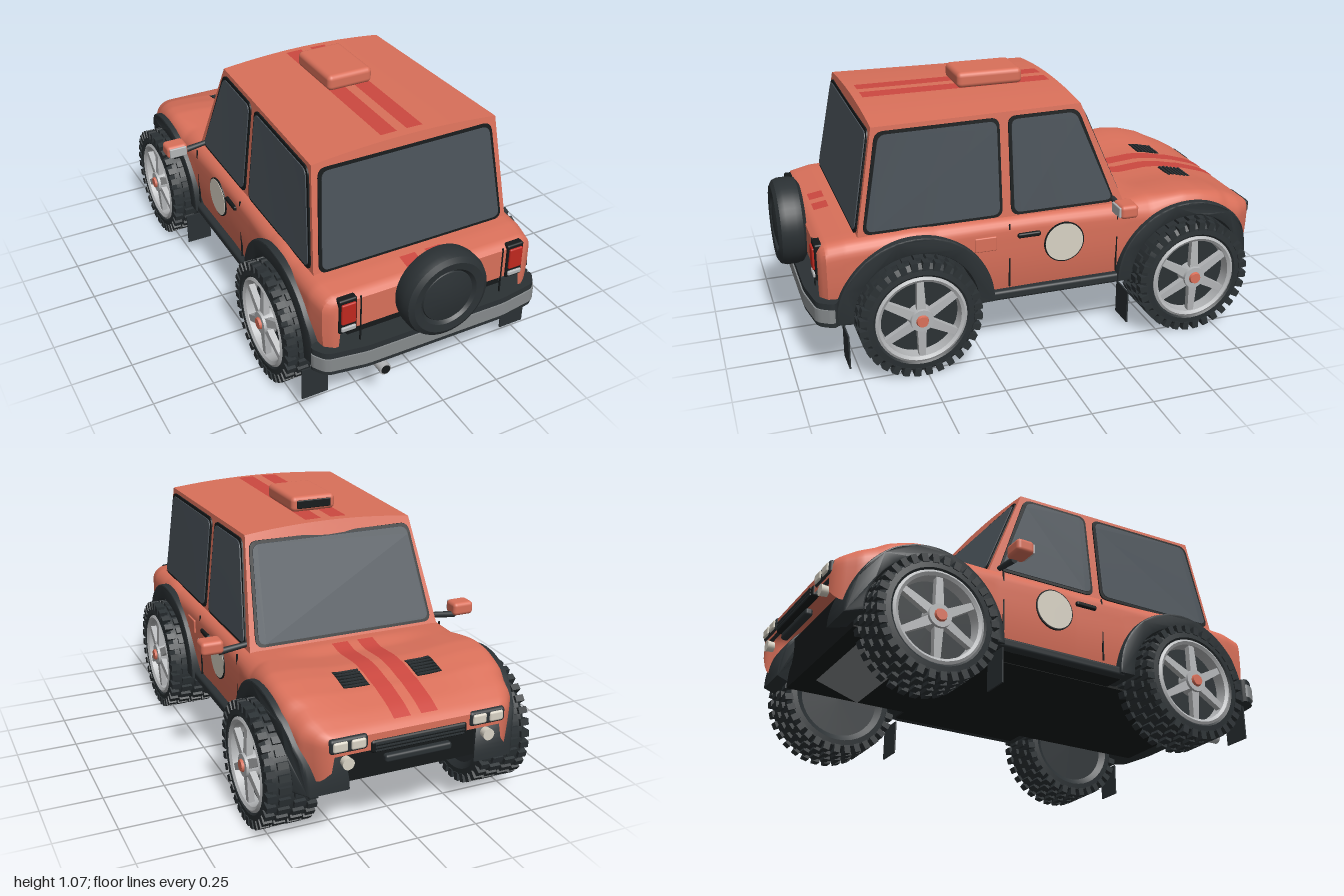
import * as THREE from 'three';
import { mergeGeometries, toCreasedNormals } from 'three/addons/utils/BufferGeometryUtils.js';
import { RoundedBoxGeometry } from 'three/addons/geometries/RoundedBoxGeometry.js';

const mat = (color) => new THREE.MeshStandardMaterial({ color, side: THREE.DoubleSide });
const paint = mat(0xd9705a), red = mat(0xcc4840), dark = mat(0x2b3134), black = mat(0x15191a);
const glass = mat(0x485057), silver = mat(0xb4b6b8), grey = mat(0x868a8c), cream = mat(0xd8d2c4), tail = mat(0xc0281f);
const { lerp, smoothstep, clamp } = THREE.MathUtils;

const WHEEL_Y = 0.246, AXLES = [0.52, -0.64], ARCH = 0.285;

function add(parent, name, geo, material, x = 0, y = 0, z = 0) {
  const m = new THREE.Mesh(geo, material);
  m.name = name;
  m.position.set(x, y, z);
  parent.add(m);
  return m;
}
const box = (w, h, d) => new THREE.BoxGeometry(w, h, d);
const rbox = (w, h, d, r) => new RoundedBoxGeometry(w, h, d, 3, r);

// Move every vertex of a geometry by a rule
function warp(geo, rule) {
  const p = geo.attributes.position, v = new THREE.Vector3();
  for (let i = 0; i < p.count; i++) {
    v.fromBufferAttribute(p, i);
    rule(v);
    p.setXYZ(i, v.x, v.y, v.z);
  }
  return toCreasedNormals(geo, 0.6);
}

// Polygon with rounded corners
function roundPoly(pts, r) {
  const s = new THREE.Shape(), P = pts.map(([x, y]) => new THREE.Vector2(x, y));
  P.forEach((p, i) => {
    const toward = (q) => p.clone().add(q.clone().sub(p).setLength(r));
    const a = toward(P[(i + P.length - 1) % P.length]), b = toward(P[(i + 1) % P.length]);
    if (i) s.lineTo(a.x, a.y); else s.moveTo(a.x, a.y);
    s.quadraticCurveTo(p.x, p.y, b.x, b.y);
  });
  s.closePath();
  return s;
}
const plate = (shape, depth) => new THREE.ExtrudeGeometry(shape, { depth, bevelEnabled: false, curveSegments: 6 });

// Body stations along z: [z, half width, top, bottom, corner radius]
const STATIONS = [
  [-0.985, 0.35, 0.462, 0.34, 0.03], [-0.965, 0.385, 0.48, 0.305, 0.04], [-0.9, 0.435, 0.515, 0.28, 0.07],
  [-0.8, 0.46, 0.56, 0.26, 0.09], [-0.7, 0.465, 0.583, 0.24, 0.1], [-0.62, 0.466, 0.59, 0.235, 0.1],
  [-0.5, 0.462, 0.58, 0.235, 0.09], [-0.36, 0.455, 0.57, 0.235, 0.06], [0, 0.452, 0.572, 0.235, 0.05],
  [0.23, 0.458, 0.575, 0.235, 0.05], [0.52, 0.47, 0.582, 0.235, 0.06], [0.78, 0.468, 0.57, 0.24, 0.06],
  [0.86, 0.455, 0.557, 0.25, 0.06], [0.885, 0.42, 0.535, 0.28, 0.05]];
function station(z) {
  z = clamp(z, -0.985, 0.885);
  const i = Math.max(1, STATIONS.findIndex((s) => s[0] >= z));
  const a = STATIONS[i - 1], b = STATIONS[i], t = (z - a[0]) / (b[0] - a[0]);
  return a.map((v, k) => lerp(v, b[k], t));
}
function bodyTop(x, z) {
  const [, W, top] = station(z);
  const dip = 0.02 * smoothstep(z, -0.95, -0.75) * (1 - smoothstep(z, -0.5, -0.4));
  return top - dip * (1 - smoothstep(Math.abs(x) / W, 0.3, 0.78));
}
function bodySection(z) {
  let [, W, top, low, r] = station(z);
  for (const a of AXLES) {
    const d = z - a;
    if (Math.abs(d) < ARCH) low = Math.max(low, WHEEL_Y + Math.sqrt(ARCH * ARCH - d * d));
  }
  r = Math.min(r, (top - low) * 0.9);
  const half = [];
  for (let i = 0; i < 8; i++) {
    const y = lerp(low, top - r, i / 8);
    half.push([W * (1 - 0.05 * Math.pow(Math.max(0, 0.45 - y) / 0.2, 2)), y]);
  }
  for (let i = 0; i <= 6; i++) {
    const a = i / 6 * Math.PI / 2;
    half.push([W - r + r * Math.cos(a), top - r + r * Math.sin(a)]);
  }
  for (let i = 1; i <= 8; i++) {
    const x = (W - r) * (1 - i / 8);
    half.push([x, bodyTop(x, z)]);
  }
  return half.concat(half.slice(0, -1).reverse().map(([x, y]) => [-x, y]));
}
function bodyGeometry() {
  const pos = [], index = [], N = 140, rows = [];
  for (let i = 0; i <= N; i++) {
    const z = lerp(-0.985, 0.885, i / N);
    rows.push(bodySection(z).map(([x, y]) => [x, y, z]));
  }
  // Flat closed ends
  const close = (row) => row.map(([x, , z]) => [x * 0.97, z < 0 ? 0.4 : 0.41, z]);
  rows.unshift(close(rows[0]));
  rows.push(close(rows[rows.length - 1]));
  const n = rows[0].length;
  rows.forEach((row) => row.forEach((p) => pos.push(...p)));
  for (let i = 0; i < rows.length - 1; i++) for (let j = 0; j < n - 1; j++) {
    const a = i * n + j;
    index.push(a, a + 1, a + n, a + 1, a + n + 1, a + n);
  }
  const g = new THREE.BufferGeometry();
  g.setAttribute('position', new THREE.Float32BufferAttribute(pos, 3));
  g.setIndex(index);
  return toCreasedNormals(g, 0.7);
}

// Cabin surfaces as functions of height
const tOf = (y) => (y - 0.55) / 0.44;
const zFront = (t) => lerp(-0.375, -0.19, t), zRear = (t) => lerp(0.735, 0.655, t);
const cabinHalf = (t, w) => lerp(lerp(0.415, 0.36, t), lerp(0.425, 0.392, t), w);
const roofY = (u) => 0.99 + 0.022 * (1 - u * u);

// Window pane with a dark trim, laid on a cabin face by the given rule
function pane(parent, name, pts, grow, rule) {
  const c = pts.reduce((s, p) => [s[0] + p[0] / pts.length, s[1] + p[1] / pts.length], [0, 0]);
  const big = pts.map(([x, y]) => [x + Math.sign(x - c[0]) * grow, y + Math.sign(y - c[1]) * grow]);
  add(parent, name + 'Trim', warp(plate(roundPoly(big, 0.035), 0.007), rule), black);
  add(parent, name, warp(plate(roundPoly(pts, 0.03), 0.011), rule), glass);
}

// Wheel with its axis along local y, outside face up
function makeWheel() {
  const g = new THREE.Group();
  g.name = 'wheel';
  const lathe = (pts) => toCreasedNormals(new THREE.LatheGeometry(pts.map(([r, y]) => new THREE.Vector2(r, y)), 40), 0.6);
  add(g, 'tyre', lathe([[0.165, -0.08], [0.19, -0.098], [0.215, -0.095], [0.23, -0.075], [0.232, 0.075],
    [0.215, 0.095], [0.19, 0.098], [0.175, 0.085], [0.172, 0.04]]), dark);
  const knobs = [];
  for (let i = 0; i < 32; i++) for (const [y, w, off] of [[-0.082, 0.036, 0], [-0.03, 0.045, 0.5], [0.03, 0.045, 0], [0.082, 0.036, 0.5]]) {
    const k = box(0.034, w, 0.026);
    k.translate(0.227, y, 0);
    k.rotateY((i + off) / 32 * Math.PI * 2);
    knobs.push(k);
  }
  add(g, 'treadBlocks', mergeGeometries(knobs), dark);
  add(g, 'rimBack', new THREE.CylinderGeometry(0.172, 0.172, 0.12, 40), dark, 0, -0.015);
  add(g, 'rimRing', lathe([[0.182, 0.06], [0.182, 0.094], [0.172, 0.1], [0.16, 0.092], [0.156, 0.045]]), silver);
  const spokes = [];
  for (let i = 0; i < 6; i++) {
    const s = warp(box(0.14, 0.025, 0.034), (v) => { v.z *= v.x > 0 ? 0.75 : 1.1; v.y -= v.x > 0 ? 0.008 : 0; });
    s.translate(0.097, 0.083, 0);
    s.rotateY(i / 6 * Math.PI * 2);
    spokes.push(s);
  }
  add(g, 'spokes', mergeGeometries(spokes), silver);
  add(g, 'hub', new THREE.CylinderGeometry(0.045, 0.052, 0.05, 24), silver, 0, 0.08);
  add(g, 'hubCap', new THREE.CylinderGeometry(0.022, 0.027, 0.014, 12), paint, 0, 0.108);
  g.rotation.z = -Math.PI / 2;
  return g;
}

// Everything that is mirrored left to right
function makeSide() {
  const g = new THREE.Group();
  for (const z of AXLES) {
    const w = makeWheel();
    w.position.set(0.447, WHEEL_Y, z);
    g.add(w);
    const arch = new THREE.Shape();
    arch.absarc(0, 0, z > 0 ? 0.312 : 0.305, 0, Math.PI, false);
    arch.absarc(0, 0, 0.257, Math.PI, 0, true);
    const flare = new THREE.ExtrudeGeometry(arch, { depth: 0.15, curveSegments: 28, bevelSize: 0.006, bevelThickness: 0.006, bevelSegments: 2 });
    flare.rotateY(Math.PI / 2).translate(0.33, WHEEL_Y, z);
    add(g, 'wheelArchFlare', warp(flare, (v) => { v.x += station(v.z)[1] - 0.466; }), dark);
    add(g, 'mudFlap', box(0.11, 0.14, 0.006), dark, 0.455, 0.135, z > 0 ? 0.8 : -0.36);
  }
  // Side windows, drawn over -z
  const onSide = (v) => {
    const t = tOf(v.y), z = -v.x, w = (z - zFront(t)) / (zRear(t) - zFront(t));
    v.set(cabinHalf(t, w) + v.z - 0.001, v.y, z);
  };
  pane(g, 'rearSideWindow', [[-0.7, 0.59], [-0.165, 0.59], [-0.165, 0.96], [-0.63, 0.96]], 0.012, onSide);
  pane(g, 'frontSideWindow', [[-0.105, 0.59], [0.315, 0.59], [0.165, 0.96], [-0.105, 0.96]], 0.012, onSide);
  // Door details
  add(g, 'sill', rbox(0.05, 0.04, 0.58, 0.012), dark, 0.44, 0.252, -0.055);
  add(g, 'doorHandle', rbox(0.022, 0.02, 0.095, 0.007), black, 0.455, 0.502, 0.055);
  add(g, 'roundelRim', new THREE.CylinderGeometry(0.085, 0.085, 0.02, 40).rotateZ(Math.PI / 2), black, 0.447, 0.448, -0.095);
  add(g, 'roundel', new THREE.CylinderGeometry(0.08, 0.08, 0.02, 40).rotateZ(Math.PI / 2), cream, 0.449, 0.448, -0.095);
  for (const z of [0.135, -0.325]) add(g, 'doorSeam', box(0.006, 0.27, 0.005), black, 0.4515, 0.42, z);
  // Mirror
  add(g, 'mirrorArm', new THREE.CylinderGeometry(0.011, 0.014, 0.12, 10).rotateZ(Math.PI / 2 - 0.12), dark, 0.465, 0.582, -0.32);
  add(g, 'mirrorShell', rbox(0.092, 0.056, 0.075, 0.016), paint, 0.555, 0.602, -0.312);
  add(g, 'mirrorGlass', rbox(0.076, 0.042, 0.01, 0.004), silver, 0.555, 0.602, -0.273);
  // Tail and nose lamps
  add(g, 'tailLampHousing', rbox(0.075, 0.15, 0.04, 0.008), black, 0.365, 0.478, 0.873);
  add(g, 'tailLamp', rbox(0.06, 0.09, 0.03, 0.006), tail, 0.365, 0.492, 0.886);
  add(g, 'reverseLamp', rbox(0.06, 0.02, 0.03, 0.005), silver, 0.365, 0.425, 0.886);
  add(g, 'tailgateSeam', box(0.005, 0.25, 0.006), black, 0.31, 0.42, 0.885);
  add(g, 'headlampHousing', rbox(0.15, 0.058, 0.04, 0.014), dark, 0.28, 0.44, -0.973);
  for (const x of [0.245, 0.315]) add(g, 'headlamp', rbox(0.058, 0.04, 0.02, 0.009), cream, x, 0.44, -0.989);
  add(g, 'fogLamp', new THREE.CylinderGeometry(0.02, 0.023, 0.03, 20).rotateX(Math.PI / 2), cream, 0.285, 0.37, -0.983);
  // Stripes and bonnet vent
  const strip = (name, x, w, z0, z1, height, m) => add(g, name, warp(
    new THREE.PlaneGeometry(w, z1 - z0, 4, 20).rotateX(-Math.PI / 2).translate(x, 0, (z0 + z1) / 2),
    (v) => { v.y = height(v.x, v.z); }), m);
  const onBody = (x, z) => bodyTop(x, z) + 0.004;
  strip('bonnetStripe', 0.055, 0.068, -0.955, -0.42, onBody, red);
  strip('roofStripe', 0.055, 0.068, -0.16, 0.62, (x) => roofY(x / 0.375) + 0.003, red);
  strip('rearStripe', 0.055, 0.068, 0.78, 0.84, onBody, red);
  strip('bonnetVent', 0.152, 0.105, -0.78, -0.67, onBody, black);
  for (let i = 0; i < 6; i++) add(g, 'ventSlat', box(0.1, 0.006, 0.007), dark, 0.152, bodyTop(0.152, -0.77 + i * 0.018) + 0.006, -0.77 + i * 0.018);
  return g;
}

export function createModel() {
  const car = new THREE.Group();
  car.name = 'offRoadCar';
  add(car, 'body', bodyGeometry(), paint);
  add(car, 'chassis', box(0.68, 0.2, 1.72), black, 0, 0.33, -0.02);
  add(car, 'floor', box(0.86, 0.02, 0.58), black, 0, 0.242, -0.06);
  add(car, 'rearFloor', box(0.84, 0.03, 0.06), black, 0, 0.262, 0.84);

  // Cabin with crowned roof
  add(car, 'cabin', warp(new THREE.BoxGeometry(2, 1, 1, 12, 8, 8), (v) => {
    const t = v.y + 0.5, w = v.z + 0.5, u = v.x;
    v.set(u * cabinHalf(t, w), 0.55 + 0.44 * t + 0.022 * t ** 4 * (1 - u * u), lerp(zFront(t), zRear(t), w));
  }), paint);
  pane(car, 'rearWindow', [[-0.39, 0.585], [0.39, 0.585], [0.357, 0.96], [-0.357, 0.96]], 0.012,
    (v) => { v.z += zRear(tOf(v.y)) - 0.001; });
  pane(car, 'windscreen', [[-0.375, 0.595], [0.375, 0.595], [0.338, 0.955], [-0.338, 0.955]], 0.012,
    (v) => { v.set(-v.x, v.y, zFront(tOf(v.y)) + 0.001 - v.z); });

  const left = makeSide(), right = makeSide();
  left.name = 'leftSide';
  right.name = 'rightSide';
  right.scale.x = -1;
  car.add(left, right);
  add(car, 'fuelFlap', rbox(0.012, 0.06, 0.09, 0.005), paint, 0.458, 0.485, 0.235);

  // Roof scoop
  add(car, 'roofScoop', rbox(0.195, 0.065, 0.275, 0.02), paint, 0, 1.044, 0.097);
  add(car, 'scoopIntake', rbox(0.15, 0.035, 0.01, 0.004), black, 0, 1.044, -0.039);

  // Nose
  add(car, 'grille', rbox(0.39, 0.05, 0.03, 0.012), black, 0, 0.412, -0.978);
  for (let i = 0; i < 3; i++) add(car, 'grilleBar', box(0.36, 0.005, 0.008), dark, 0, 0.399 + i * 0.013, -0.994);
  add(car, 'lowerGrille', rbox(0.27, 0.03, 0.03, 0.01), dark, 0, 0.352, -0.976);
  add(car, 'skidPlate', box(0.4, 0.008, 0.2), grey, 0, 0.205, -0.72).rotation.x = 0.32;

  // Rear bumper, spare wheel and exhaust
  const plan = (grow) => roundPoly([[-0.5, -0.84], [-0.46, -0.905], [-0.3, -0.93], [0.3, -0.93], [0.46, -0.905],
    [0.5, -0.84], [0.42, -0.8], [-0.42, -0.8]].map(([x, z]) => [x * (1 + grow), z * (1 + grow)]), 0.025);
  const slab = (grow, h) => toCreasedNormals(plate(plan(grow), h).rotateX(-Math.PI / 2), 0.6);
  add(car, 'rearBumper', slab(0, 0.1), dark, 0, 0.243, 0);
  add(car, 'bumperStrip', slab(0.006, 0.055), grey, 0, 0.263, 0);
  const spare = new THREE.LatheGeometry([[0, -0.06], [0.15, -0.06], [0.172, -0.045], [0.178, -0.02], [0.178, 0.02], [0.17, 0.042],
    [0.15, 0.054], [0.12, 0.05], [0.108, 0.036], [0.105, 0.042], [0.06, 0.052], [0, 0.056]].map(([r, y]) => new THREE.Vector2(r, y)), 48);
  add(car, 'spareWheel', toCreasedNormals(spare.rotateX(Math.PI / 2), 0.5), dark, 0, 0.497, 0.94);
  add(car, 'spareMount', box(0.12, 0.12, 0.06), black, 0, 0.47, 0.87);
  add(car, 'exhaust', new THREE.CylinderGeometry(0.024, 0.024, 0.09, 20).rotateX(Math.PI / 2), silver, -0.21, 0.175, 0.865);
  add(car, 'exhaustBore', new THREE.CylinderGeometry(0.019, 0.019, 0.004, 20).rotateX(Math.PI / 2), black, -0.21, 0.175, 0.91);
  return car;
}
